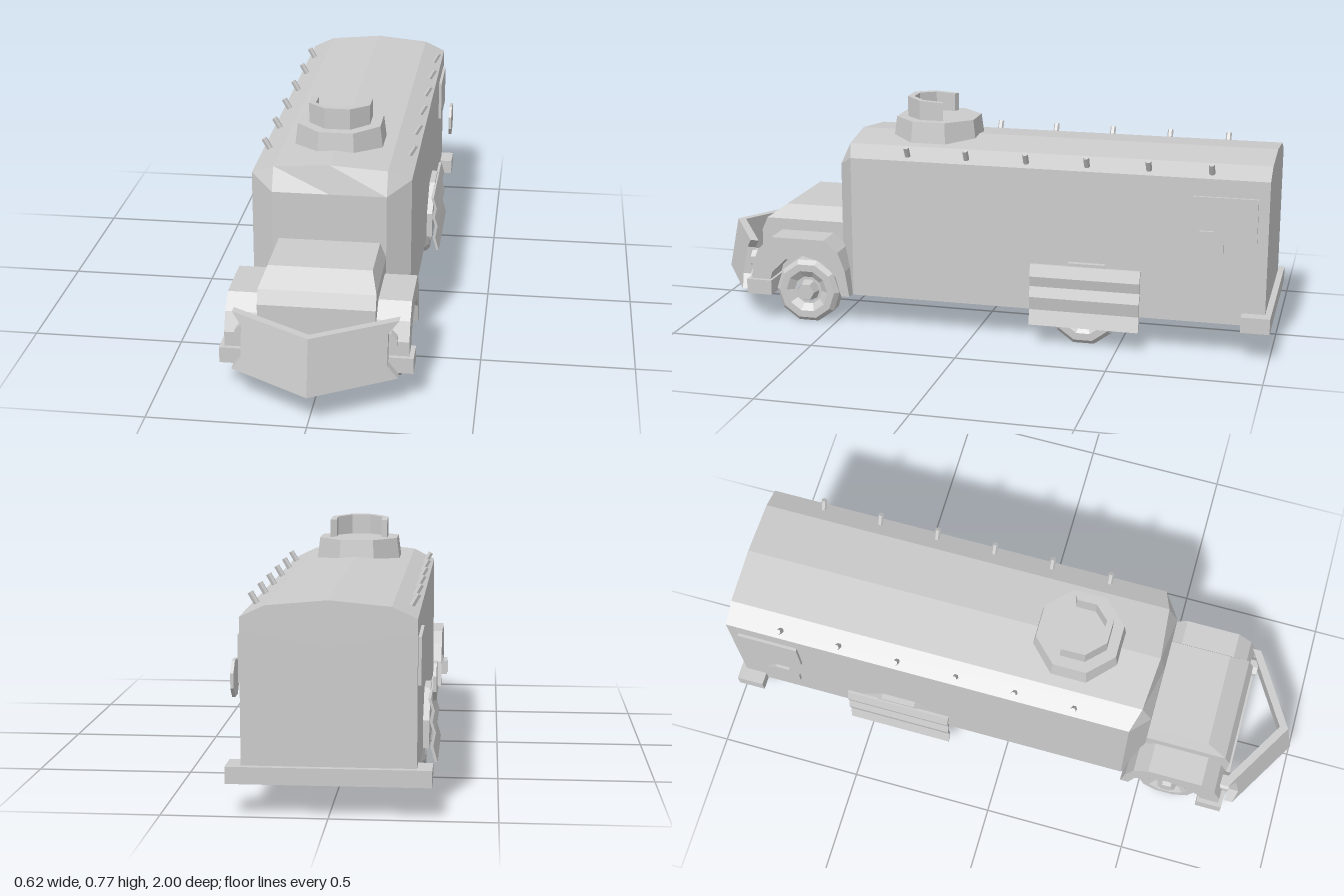
import * as THREE from 'three';

const grey = new THREE.MeshStandardMaterial({ color: 0xcccccc, flatShading: true });

// Flat-shaded, unindexed copy
function flat(geo) {
  const g = geo.index ? geo.toNonIndexed() : geo;
  g.computeVertexNormals();
  return g;
}

// Copy reflected in x with the corner order restored
function mirrored(geo) {
  const g = geo.clone(), p = g.attributes.position;
  for (let i = 0; i < p.count; i += 3) {
    const v = [0, 2, 1].map(k => new THREE.Vector3().fromBufferAttribute(p, i + k));
    v.forEach((q, k) => p.setXYZ(i + k, -q.x, q.y, q.z));
  }
  g.computeVertexNormals();
  return g;
}

// Loft through symmetric rings, back to front; each ring lists [x, y, z] of its +x half, bottom to top
function loft(halves) {
  const rings = halves.map(h =>
    [...h, ...h.slice().reverse().map(([x, y, z]) => [-x, y, z])].map(a => new THREE.Vector3(...a)));
  const out = [], n = rings[0].length;
  const tri = (a, b, c) => {
    const area = b.clone().sub(a).cross(c.clone().sub(a)).length();
    if (area > 1e-8) out.push(...a, ...b, ...c);
  };
  const mid = r => r.reduce((s, p) => s.add(p), new THREE.Vector3()).divideScalar(n);
  const last = rings[rings.length - 1], cb = mid(rings[0]), cf = mid(last);
  for (let j = 0; j < n; j++) {
    const k = (j + 1) % n;
    for (let i = 0; i + 1 < rings.length; i++) {
      tri(rings[i][j], rings[i][k], rings[i + 1][j]);
      tri(rings[i][k], rings[i + 1][k], rings[i + 1][j]);
    }
    tri(cb, rings[0][k], rings[0][j]);
    tri(cf, last[j], last[k]);
  }
  const g = new THREE.BufferGeometry();
  g.setAttribute('position', new THREE.Float32BufferAttribute(out, 3));
  g.computeVertexNormals();
  return g;
}

function extrude(points, depth) {
  const shape = new THREE.Shape(points.map(p => new THREE.Vector2(...p)));
  return new THREE.ExtrudeGeometry(shape, { depth, bevelEnabled: false });
}

// Side profile of [z, y] points, spanning x0 to x1
const sideExtrude = (points, x0, x1) =>
  extrude(points, x1 - x0).rotateY(-Math.PI / 2).translate(x1, 0, 0);

// Box given by its limits
const box = (x0, x1, y0, y1, z0, z1) =>
  new THREE.BoxGeometry(x1 - x0, y1 - y0, z1 - z0).translate((x0 + x1) / 2, (y0 + y1) / 2, (z0 + z1) / 2);

export function createModel() {
  const model = new THREE.Group();
  const add = (name, geo) => {
    const m = new THREE.Mesh(flat(geo), grey);
    m.name = name;
    model.add(m);
  };
  const pair = (name, geo) => {
    const g = flat(geo);
    add(name + 'Left', g);
    add(name + 'Right', mirrored(g));
  };

  // Van body with arched roof and bevelled front corners
  const side = [[0.26, 0.11], [0.26, 0.555], [0.26, 0.595], [0.185, 0.63], [0, 0.647]];
  const frontZ = [0.43, 0.43, 0.43, 0.455, 0.47];
  add('body', loft([
    side.map(([x, y]) => [x, y, -0.98]),
    side.map(([x, y], i) => [x, y, frontZ[i]]),
    [[0.185, 0.11, 0.49], [0.185, 0.555, 0.49], [0.185, 0.555, 0.49], [0.185, 0.555, 0.49], [0, 0.555, 0.49]],
  ]));

  // Engine hood with sloped nose
  const hood = [[0.185, 0.11], [0.185, 0.3], [0.185, 0.345], [0.165, 0.395]];
  const low = [0.185, 0.11, 0.79], lip = [0.185, 0.3, 0.79], brow = [0.185, 0.345, 0.77];
  add('hood', loft([
    hood.map(([x, y]) => [x, y, 0.47]),
    [low, lip, brow, [0.165, 0.395, 0.7]],
    [low, lip, brow, brow],
    [low, lip, lip, lip],
  ]));

  // Front fenders with wheel arch
  const arch = [];
  for (let i = 0; i <= 6; i++) {
    const a = Math.PI * i / 6;
    arch.push([0.6 - 0.135 * Math.cos(a), 0.11 + 0.135 * Math.sin(a)]);
  }
  pair('frontFender', sideExtrude([
    ...arch, [0.79, 0.11], [0.79, 0.2], [0.765, 0.26], [0.715, 0.305],
    [0.525, 0.305], [0.475, 0.265], [0.45, 0.2], [0.435, 0.11],
  ], 0.18, 0.29));

  // Headlights
  pair('headlight', new THREE.CylinderGeometry(0.034, 0.034, 0.03, 8)
    .rotateY(Math.PI / 8).rotateX(Math.PI / 2).translate(0.222, 0.205, 0.795));

  // Bumpers
  add('frontBumper', box(-0.305, 0.305, 0.1, 0.152, 0.715, 0.805));
  add('rearBumper', box(-0.305, 0.305, 0.1, 0.152, -1, -0.97));
  pair('rearBumperEnd', box(0.255, 0.305, 0.1, 0.152, -0.98, -0.905));

  // V-shaped ram plates, swept back and leaning
  const ram = extrude([[0, 0.1], [0.26, 0.1], [0.228, 0.147], [0.228, 0.245], [0.26, 0.28], [0, 0.28]], 0.03);
  const rp = ram.attributes.position;
  for (let i = 0; i < rp.count; i++) {
    const x = rp.getX(i), y = rp.getY(i);
    rp.setZ(i, rp.getZ(i) + 0.967 - 0.6 * x - 0.2 * (y - 0.1));
  }
  pair('ramPlate', ram);

  // Wheels with dished rims and hubs
  const tyre = [[0, -0.04], [0.104, -0.04], [0.115, -0.028], [0.115, 0.02], [0.1, 0.035], [0.075, 0.035], [0.05, 0.018], [0.04, 0.018]];
  for (const [name, z] of [['frontWheel', 0.6], ['rearWheel', -0.38]]) {
    pair(name, new THREE.LatheGeometry(tyre.map(p => new THREE.Vector2(...p)), 10)
      .rotateZ(-Math.PI / 2).translate(0.23, 0.11, z));
    pair(name + 'Hub', new THREE.CylinderGeometry(0.03, 0.04, 0.05, 6)
      .rotateZ(-Math.PI / 2).translate(0.25, 0.11, z));
  }

  // Rear wheel arches and corrugated guards
  pair('rearArch', sideExtrude([
    [-0.55, 0.11], [-0.55, 0.2], [-0.45, 0.285], [-0.33, 0.285], [-0.23, 0.2], [-0.23, 0.11],
  ], 0.25, 0.28));
  const wave = [[0.286, 0.275], [0.298, 0.235], [0.291, 0.2], [0.302, 0.165], [0.294, 0.12], [0.308, 0.07]];
  pair('wheelGuard', extrude([
    ...wave.map(([x, y]) => [x - 0.009, y]), ...wave.slice().reverse(),
  ], 0.37).translate(0, 0, -0.572));

  // Side hatch and round plate near the back
  pair('sideHatch', box(0.255, 0.27, 0.393, 0.537, -0.945, -0.735));
  pair('roundPlate', new THREE.CylinderGeometry(0.061, 0.061, 0.01, 8)
    .rotateY(Math.PI / 8).rotateZ(-Math.PI / 2).translate(0.305, 0.377, -0.785));

  // Roof pegs
  for (let i = 0; i < 6; i++) {
    pair('roofPeg' + (i + 1), new THREE.CylinderGeometry(0.01, 0.01, 0.055, 6)
      .rotateZ(-0.52).translate(0.24, 0.617, 0.235 - 0.205 * i));
  }

  // Octagonal turret base
  const c = Math.cos(Math.PI / 8);
  add('turretBase', new THREE.CylinderGeometry(0.137 / c, 0.147 / c, 0.08, 8)
    .rotateY(Math.PI / 8).translate(0, 0.665, 0.19));

  // Turret shield, open at the back and rising to the front
  const arc = r => [-2.5, -1.5, -0.5, 0.5, 1.5, 2.5].map(k => {
    const a = k * Math.PI / 4;
    return [r / c * Math.sin(a), -r / c * Math.cos(a)];
  });
  const shield = extrude([...arc(0.101), ...arc(0.08).reverse()], 0.065).rotateX(-Math.PI / 2);
  const sp = shield.attributes.position;
  for (let i = 0; i < sp.count; i++) {
    if (sp.getY(i) > 0.03) sp.setY(i, 0.066 + 0.06 * sp.getZ(i));
  }
  add('turretShield', shield.translate(0, 0.703, 0.19));

  return model;
}
